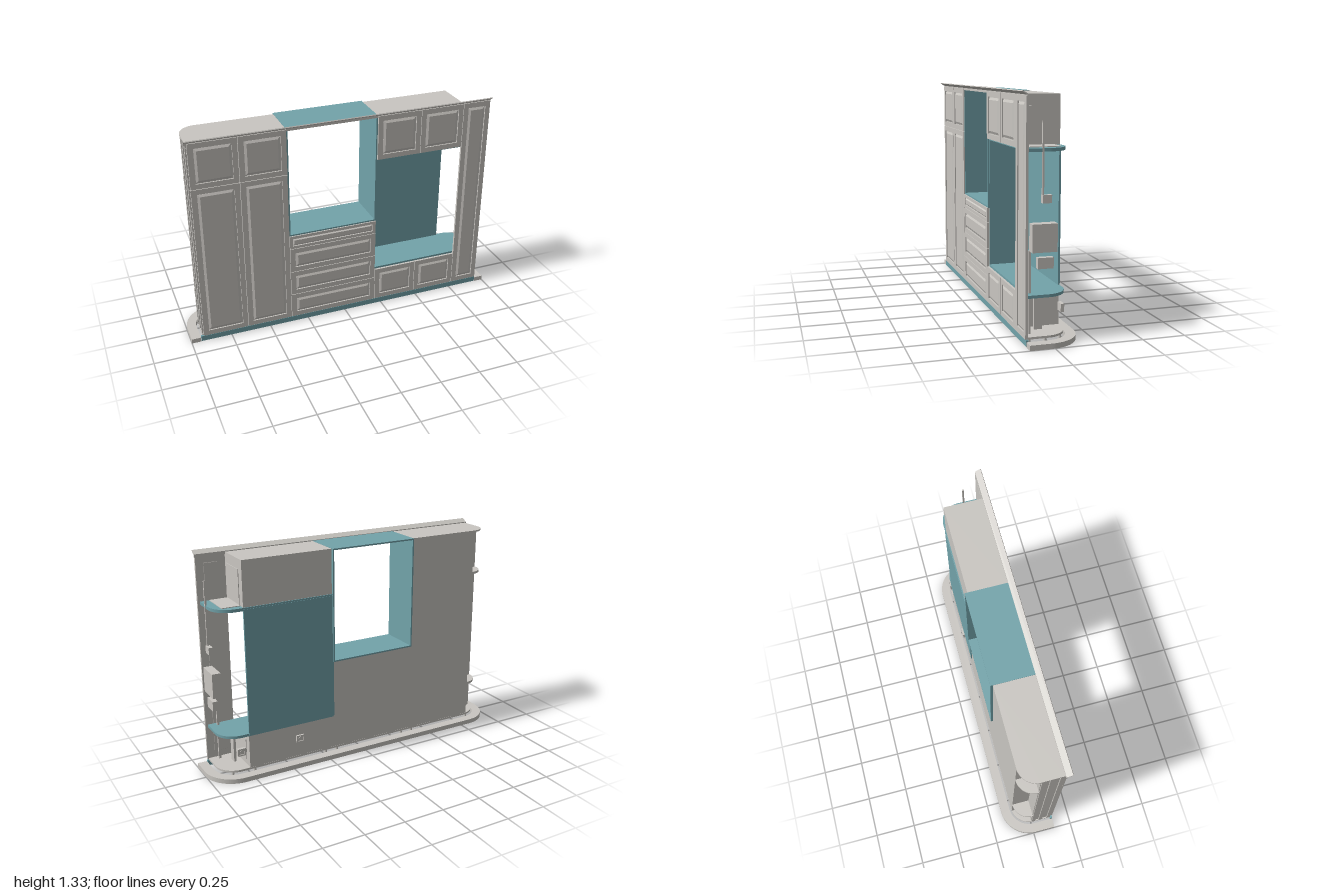
import * as THREE from 'three';

export function createModel() {
  const root = new THREE.Group();
  const grey = new THREE.MeshStandardMaterial({ color: 0xc9c6c1 });
  grey.name = 'warm grey';
  const teal = new THREE.MeshStandardMaterial({ color: 0x72a3aa });
  teal.name = 'teal';

  const add = (name, geo, mat = grey, parent = root) => {
    const m = new THREE.Mesh(geo, mat);
    m.name = name;
    parent.add(m);
    return m;
  };
  // box from min/max limits
  const box = (name, x0, x1, y0, y1, z0, z1, mat = grey, parent = root) => {
    const m = add(name, new THREE.BoxGeometry(x1 - x0, y1 - y0, z1 - z0), mat, parent);
    m.position.set((x0 + x1) / 2, (y0 + y1) / 2, (z0 + z1) / 2);
    return m;
  };
  const rect = (S, x0, x1, y0, y1) => {
    const s = new S();
    s.moveTo(x0, y0).lineTo(x1, y0).lineTo(x1, y1).lineTo(x0, y1).closePath();
    return s;
  };
  // floor plan with optional rounded back corners, drawn with y = -z
  const plan = (x0, x1, zFront, zBack, rLow, rHigh) => {
    const s = new THREE.Shape(), b = -zBack;
    s.moveTo(x0, -zFront).lineTo(x1, -zFront).lineTo(x1, b - rHigh);
    if (rHigh) s.absarc(x1 - rHigh, b - rHigh, rHigh, 0, Math.PI / 2, false);
    s.lineTo(x0 + rLow, b);
    if (rLow) s.absarc(x0 + rLow, b - rLow, rLow, Math.PI / 2, Math.PI, false);
    s.closePath();
    return s;
  };
  const slab = (name, shape, y0, y1, mat = grey) => {
    const g = new THREE.ExtrudeGeometry(shape, { depth: y1 - y0, bevelEnabled: false, curveSegments: 14 });
    g.rotateX(-Math.PI / 2);
    add(name, g, mat).position.y = y0;
  };
  // frame standing upright in the xy plane
  const frame = (name, x0, x1, y0, y1, bx, by, z0, z1, mat, parent) => {
    const s = rect(THREE.Shape, x0, x1, y0, y1);
    s.holes.push(rect(THREE.Path, x0 + bx, x1 - bx, y0 + by, y1 - by));
    add(name, new THREE.ExtrudeGeometry(s, { depth: z1 - z0, bevelEnabled: false }), mat, parent).position.z = z0;
  };

  // raised-panel front: back board, frame and bevelled centre
  const front = (name, x0, x1, y0, y1, b = 0.031, bev = 0.014) => {
    const g = new THREE.Group(), e = 0.0015;
    g.name = name;
    root.add(g);
    x0 += e; x1 -= e; y0 += e; y1 -= e;
    box('backBoard', x0, x1, y0, y1, 0.131, 0.137, grey, g);
    frame('doorFrame', x0, x1, y0, y1, b, b, 0.137, 0.145, grey, g);
    const i = b + 0.004 + bev;
    const c = new THREE.ExtrudeGeometry(rect(THREE.Shape, x0 + i, x1 - i, y0 + i, y1 - i),
      { depth: 0.0005, bevelThickness: 0.007, bevelSize: bev, bevelSegments: 1 });
    add('raisedPanel', c, grey, g).position.z = 0.137;
  };

  // doors and drawers
  for (const x of [-0.925, -0.643]) {
    front('tallDoor', x, x + 0.282, 0.04, 1.03);
    front('upperLeftDoor', x, x + 0.282, 1.03, 1.31);
  }
  for (const x of [0.2, 0.48]) {
    front('upperRightDoor', x, x + 0.28, 1.03, 1.31);
    front('lowerRightDoor', x, x + 0.28, 0.04, 0.262);
  }
  front('endPanel', 0.76, 0.94, 0.04, 1.31);
  [[0.04, 0.203], [0.203, 0.367], [0.367, 0.53]].forEach(([a, b]) => front('drawer', -0.361, 0.2, a, b));
  front('slimDrawer', -0.361, 0.2, 0.53, 0.618, 0.018, 0.007);

  // left wardrobe with an open rounded back corner
  box('wardrobeBody', -0.83, -0.361, 0.05, 1.3, -0.105, 0.13);
  box('wardrobeEnd', -0.925, -0.83, 0.05, 1.3, 0.0, 0.13);
  for (const z of [0.004, 0.05, 0.105]) box('endStile', -0.932, -0.925, 0.05, 1.3, z, z + 0.022);
  slab('wardrobeTop', plan(-0.932, -0.361, 0.13, -0.106, 0.106, 0), 1.3, 1.31);
  for (const y of [0.26, 1.025]) slab('cornerShelf', plan(-0.932, -0.83, 0.02, -0.105, 0.102, 0), y, y + 0.015);

  // drawer unit and the open teal window box above it
  box('drawerBody', -0.361, 0.2, 0.05, 0.618, -0.105, 0.13);
  frame('windowBox', -0.361, 0.2, 0.617, 1.312, 0.009, 0.009, -0.12, 0.138, teal);

  // right cabinets around the teal niche
  box('lowerRightBody', 0.2, 0.76, 0.05, 0.258, -0.105, 0.13);
  box('upperRightBody', 0.2, 0.76, 1.04, 1.31, -0.104, 0.13);
  box('nicheBack', 0.2, 0.76, 0.262, 1.03, -0.111, -0.1, teal);
  box('nicheSide', 0.192, 0.204, 0.262, 1.03, -0.108, 0.13, teal);
  slab('lowerShelf', plan(0.2, 0.925, 0.13, -0.109, 0, 0.12), 0.256, 0.272, teal);
  slab('upperShelf', plan(0.2, 0.925, 0.13, -0.109, 0, 0.12), 1.022, 1.04, teal);
  box('shelfInset', 0.76, 0.872, 1.04, 1.044, -0.068, 0.122);
  box('upperSidePlate', 0.76, 0.764, 1.046, 1.25, -0.058, 0.122);
  box('lowerSidePlate', 0.76, 0.764, 0.085, 0.215, -0.06, 0.122);

  // sloped cornice
  const c = new THREE.Shape();
  [[0.131, 1.298], [0.139, 1.298], [0.139, 1.312], [0.168, 1.329], [0.165, 1.334], [0.131, 1.315]]
    .forEach(([z, y], i) => (i ? c.lineTo(-z, y) : c.moveTo(-z, y)));
  const cg = new THREE.ExtrudeGeometry(c, { depth: 1.884, bevelEnabled: false });
  cg.rotateY(Math.PI / 2);
  add('cornice', cg).position.x = -0.942;

  // floor board, plinth and feet
  slab('floorBoard', plan(-0.932, 0.932, 0.13, -0.106, 0.12, 0.12), 0.038, 0.05);
  box('plinth', -0.94, 0.94, 0.004, 0.038, 0.128, 0.142, teal);
  for (const x of [-0.85, -0.4, -0.32, 0.16, 0.24, 0.72, 0.86])
    for (const z of [-0.075, 0.01, 0.1]) {
      const foot = add('foot', new THREE.CylinderGeometry(0.008, 0.011, 0.036, 10));
      foot.position.set(x, 0.02, z);
    }

  // U-shaped base rim with rounded back corners
  const rim = new THREE.Shape();
  rim.moveTo(-1, -0.14).lineTo(-0.943, -0.14).lineTo(-0.943, -0.015);
  rim.absarc(-0.813, -0.015, 0.13, Math.PI, Math.PI / 2, true);
  rim.lineTo(0.813, 0.115);
  rim.absarc(0.813, -0.015, 0.13, Math.PI / 2, 0, true);
  rim.lineTo(0.943, -0.14).lineTo(1, -0.14).lineTo(1, -0.015);
  rim.absarc(0.813, -0.015, 0.187, 0, Math.PI / 2, false);
  rim.lineTo(-0.813, 0.172);
  rim.absarc(-0.813, -0.015, 0.187, Math.PI / 2, Math.PI, false);
  slab('baseRim', rim, 0, 0.029);

  // fittings at the open end
  box('cableRod', 0.918, 0.928, 0.8, 1.18, 0.043, 0.053);
  box('rodSwitch', 0.91, 0.936, 0.757, 0.8, 0.002, 0.053);
  box('controlBox', 0.885, 0.938, 0.5, 0.65, -0.03, 0.108);
  box('smallBox', 0.905, 0.936, 0.413, 0.472, -0.01, 0.077);
  box('conduit', 0.865, 0.878, 0.05, 0.5, 0.095, 0.108);
  box('supportPost', 0.8, 0.815, 0.05, 0.258, 0.01, 0.055);

  // sockets: plate, raised rim and round insert
  for (const [x, z] of [[0.43, -0.105], [0.81, -0.098]]) {
    const y = 0.163;
    box('socketPlate', x - 0.025, x + 0.025, y - 0.023, y + 0.023, z - 0.006, z + 0.008);
    frame('socketRim', x - 0.025, x + 0.025, y - 0.023, y + 0.023, 0.008, 0.008, z - 0.012, z - 0.006);
    const s = add('socketInsert', new THREE.CylinderGeometry(0.011, 0.011, 0.004, 16));
    s.rotation.x = Math.PI / 2;
    s.position.set(x, y, z - 0.007);
  }
  return root;
}
